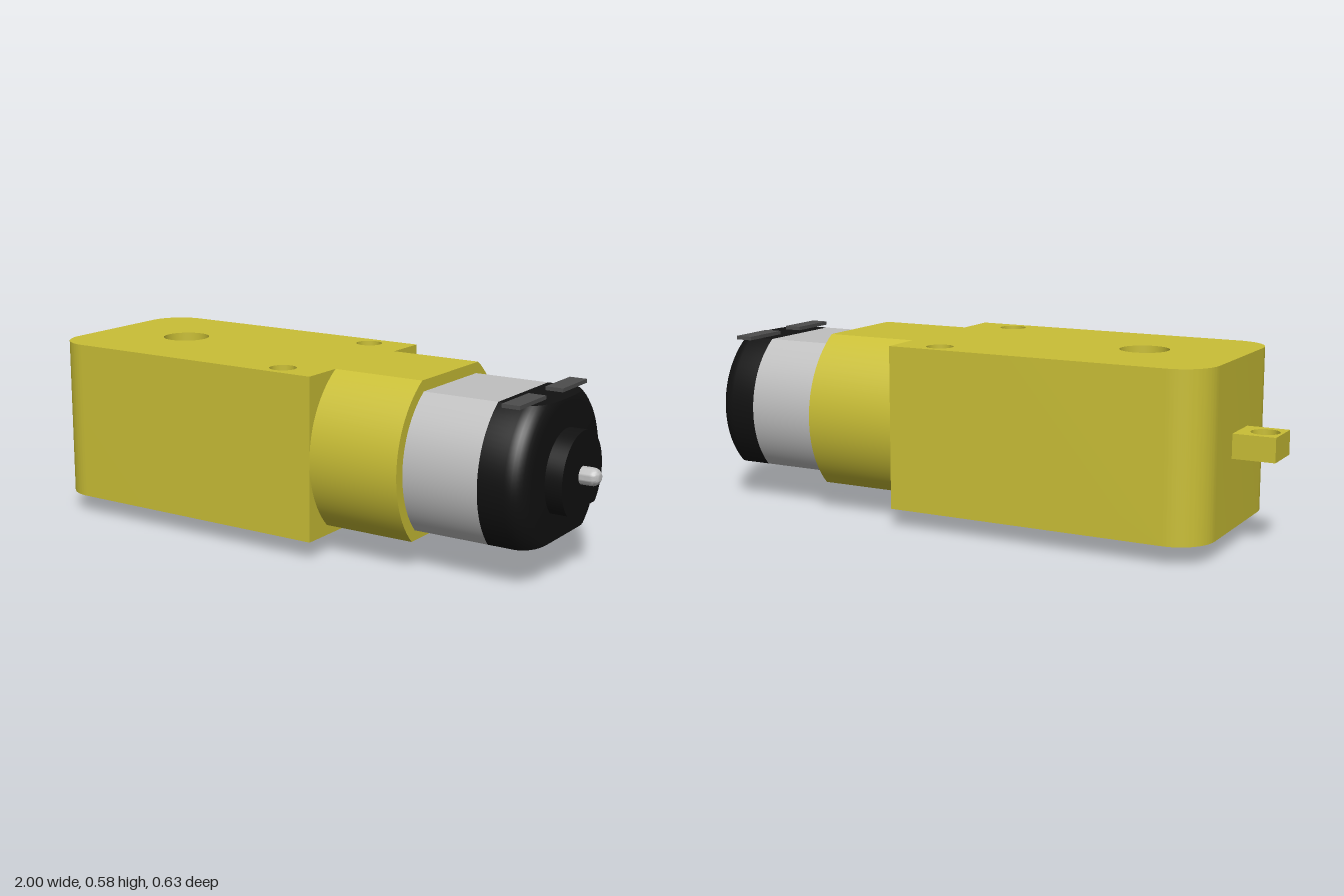
import * as THREE from 'three';
import { toCreasedNormals } from 'three/addons/utils/BufferGeometryUtils.js';

const AXIS_Y = 0.32; // height of the motor axis

// Circle cut flat above and below, anticlockwise seen from +x
function flattedRing(r, top, bottom, n = 24) {
  const a0 = -Math.asin(Math.min(1, bottom / r));
  const a1 = Math.asin(Math.min(1, top / r));
  const right = [];
  for (let i = 0; i <= n; i++) {
    const a = a0 + (a1 - a0) * i / n;
    right.push([r * Math.cos(a), r * Math.sin(a)]);
  }
  return [...right, ...right.slice().reverse().map(([u, v]) => [-u, v])];
}

// Solid along x through stations [x, radius], sharing the same flats
function flattedSolid(stations, top, bottom) {
  const pos = [];
  const rings = stations.map(([x, r]) =>
    flattedRing(r, top, bottom).map(([u, v]) => [x, AXIS_Y + v, -u]));
  const tri = (a, b, c) => pos.push(...a, ...b, ...c);
  const n = rings[0].length, last = rings.length - 1;
  const c0 = [stations[0][0], AXIS_Y, 0], c1 = [stations[last][0], AXIS_Y, 0];
  for (let i = 0; i < n; i++) {
    const j = (i + 1) % n;
    for (let k = 0; k < last; k++) {
      const a = rings[k], b = rings[k + 1];
      tri(a[i], a[j], b[j]);
      tri(a[i], b[j], b[i]);
    }
    tri(c0, rings[0][j], rings[0][i]);
    tri(c1, rings[last][i], rings[last][j]);
  }
  const g = new THREE.BufferGeometry();
  g.setAttribute('position', new THREE.Float32BufferAttribute(pos, 3));
  return toCreasedNormals(g, 0.4);
}

// Plan outline with round holes [x, z, r], raised from y0 to y1
function drilledPlate(shape, holes, y0, y1) {
  for (const [x, z, r] of holes) {
    shape.holes.push(new THREE.Path().absarc(x, -z, r, 0, Math.PI * 2, true));
  }
  const g = new THREE.ExtrudeGeometry(shape, { depth: y1 - y0, bevelEnabled: false, curveSegments: 16 });
  g.rotateX(-Math.PI / 2).translate(0, y0, 0);
  return toCreasedNormals(g, 0.5);
}

// Lathed pin with a rounded end at its top
function roundedPin(r, length, round) {
  const pts = [new THREE.Vector2(0, 0), new THREE.Vector2(r, 0)];
  for (let i = 0; i <= 6; i++) {
    const a = i / 6 * Math.PI / 2;
    pts.push(new THREE.Vector2(r - round + round * Math.cos(a), length - round + round * Math.sin(a)));
  }
  pts.push(new THREE.Vector2(0, length));
  return toCreasedNormals(new THREE.LatheGeometry(pts, 28).toNonIndexed(), 0.5);
}

export function createModel() {
  const model = new THREE.Group();
  model.name = 'gearMotor';
  const yellow = new THREE.MeshStandardMaterial({ color: 0xcabf36 });
  yellow.name = 'yellow plastic';
  const steel = new THREE.MeshStandardMaterial({ color: 0xc0c0c0 });
  steel.name = 'steel';
  const black = new THREE.MeshStandardMaterial({ color: 0x111111 });
  black.name = 'black plastic';
  const darkGrey = new THREE.MeshStandardMaterial({ color: 0x4d4d4d });
  darkGrey.name = 'dark grey metal';

  const add = (name, geometry, material) => {
    const mesh = new THREE.Mesh(geometry, material);
    mesh.name = name;
    model.add(mesh);
    return mesh;
  };

  // Gearbox with two rounded corners and three through holes
  const x0 = -0.865, x1 = 0.18, w = 0.317, c = 0.12;
  const box = new THREE.Shape();
  box.moveTo(x1, -w);
  box.lineTo(x1, w);
  box.lineTo(x0 + c, w);
  box.absarc(x0 + c, w - c, c, Math.PI / 2, Math.PI, false);
  box.lineTo(x0, -w + c);
  box.absarc(x0 + c, -w + c, c, Math.PI, Math.PI * 1.5, false);
  box.closePath();
  add('gearbox', drilledPlate(box,
    [[-0.55, 0, 0.078], [0.035, 0.25, 0.043], [0.035, -0.25, 0.043]], 0.06, 0.585), yellow);

  // Mounting tab
  const tab = new THREE.Shape();
  tab.moveTo(-1, -0.068);
  tab.lineTo(x0, -0.068);
  tab.lineTo(x0, 0.068);
  tab.lineTo(-1, 0.068);
  tab.closePath();
  add('mountingTab', drilledPlate(tab, [[-0.945, 0, 0.045]], 0.285, 0.362), yellow);

  // Locating peg under the gearbox
  const peg = add('locatingPeg', roundedPin(0.056, 0.06, 0.014), yellow);
  peg.rotation.x = Math.PI;
  peg.position.set(-0.23, 0.06, 0);

  // Motor sleeve, can and rounded end cap
  add('motorSleeve', flattedSolid([[0.18, 0.317], [0.49, 0.317]], 0.265, 0.227), yellow);
  add('motorCan', flattedSolid([[0.49, 0.282], [0.74, 0.282]], 0.23, 0.194), steel);
  const cap = [[0.74, 0.282]];
  for (let i = 0; i <= 8; i++) {
    const a = i / 8 * Math.PI / 2;
    cap.push([0.825 + 0.06 * Math.sin(a), 0.222 + 0.06 * Math.cos(a)]);
  }
  add('endCap', flattedSolid(cap, 0.23, 0.194), black);
  add('bearingBoss', flattedSolid([[0.885, 0.139], [0.94, 0.139]], 0.139, 0.1), black);

  // Shaft
  const shaft = add('shaft', roundedPin(0.028, 0.06, 0.026), steel);
  shaft.rotation.z = -Math.PI / 2;
  shaft.position.set(0.94, 0.323, 0);

  // Terminals
  for (const side of [1, -1]) {
    const t = add(side > 0 ? 'frontTerminal' : 'backTerminal', new THREE.BoxGeometry(0.058, 0.012, 0.169), darkGrey);
    t.position.set(0.812, 0.556, side * 0.1415);
  }
  return model;
}
